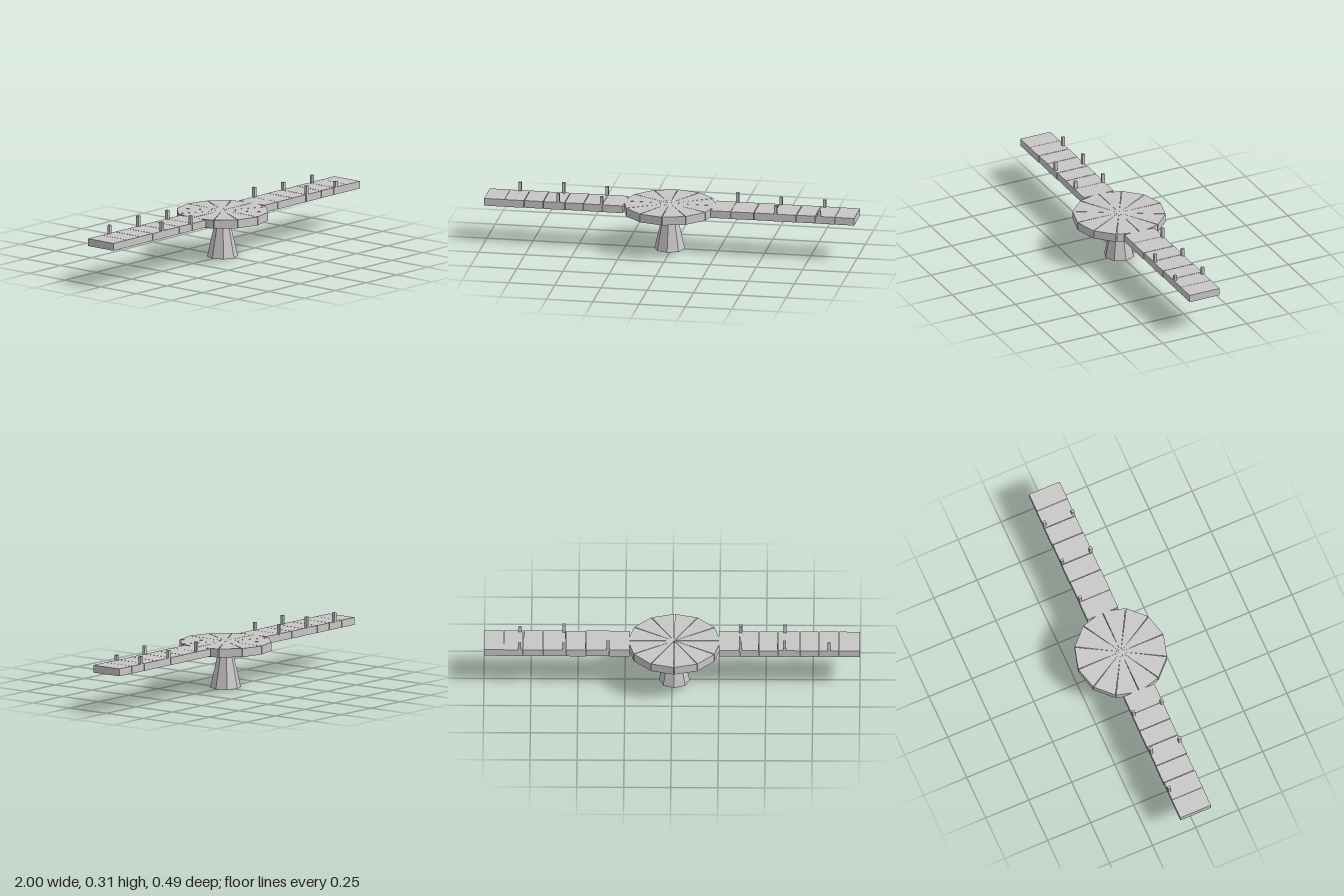
import * as THREE from 'three';

export function createModel() {
  const model = new THREE.Group();
  const stone = new THREE.MeshStandardMaterial({ color: 0xc8c6c6 });
  stone.name = 'light grey stone';
  stone.flatShading = true;
  const hubX = -0.012;

  const add = (name, geometry, x, y, z) => {
    const mesh = new THREE.Mesh(geometry, stone);
    mesh.name = name;
    mesh.position.set(x, y, z);
    model.add(mesh);
  };

  // Tapered eight-sided pillar
  add('pillar', new THREE.CylinderGeometry(0.036, 0.082, 0.206, 8), hubX, 0.103, 0);

  // Round platform of twelve wedge slabs with narrow joints
  const radius = 0.247, step = Math.PI / 6, joint = 0.008;
  for (let i = 0; i < 12; i++) {
    const a = i * step + joint, b = (i + 1) * step - joint;
    const wedge = new THREE.Shape([
      new THREE.Vector2(0, 0),
      new THREE.Vector2(radius * Math.cos(a), radius * Math.sin(a)),
      new THREE.Vector2(radius * Math.cos(b), radius * Math.sin(b)),
    ]);
    const geometry = new THREE.ExtrudeGeometry(wedge, { depth: 0.046, bevelEnabled: false });
    geometry.rotateX(-Math.PI / 2);
    add('platformWedge', geometry, hubX, 0.204, 0);
  }

  // Two walkways of slabs, slightly shifted sideways
  const walkways = [
    [-1, -0.89, -0.783, -0.68, -0.564, -0.463, -0.36, -0.25],
    [0.225, 0.332, 0.457, 0.564, 0.687, 0.79, 0.896, 1],
  ];
  const shifts = [0, 0.001, -0.001, 0.001, -0.001, 0, 0.001];
  for (const edges of walkways) {
    for (let i = 0; i < 7; i++) {
      const width = edges[i + 1] - edges[i] - 0.003 * (i % 6 > 0);
      add('walkwaySlab', new THREE.BoxGeometry(width, 0.04, 0.178),
        (edges[i] + edges[i + 1]) / 2, 0.23, shifts[i]);
    }
  }

  // Short edge posts: x, z, top height
  const posts = [
    [-0.835, -0.082, 0.298], [-0.6, -0.082, 0.308], [-0.365, -0.082, 0.299],
    [0.34, -0.082, 0.304], [0.575, -0.082, 0.291], [0.81, -0.082, 0.29],
    [-0.6, 0.082, 0.298], [-0.365, 0.082, 0.293],
    [0.575, 0.082, 0.297], [0.81, 0.082, 0.28],
  ];
  for (const [x, z, top] of posts) {
    const height = top - 0.245;
    add('post', new THREE.BoxGeometry(0.016, height, 0.016), x, top - height / 2, z);
  }
  return model;
}
